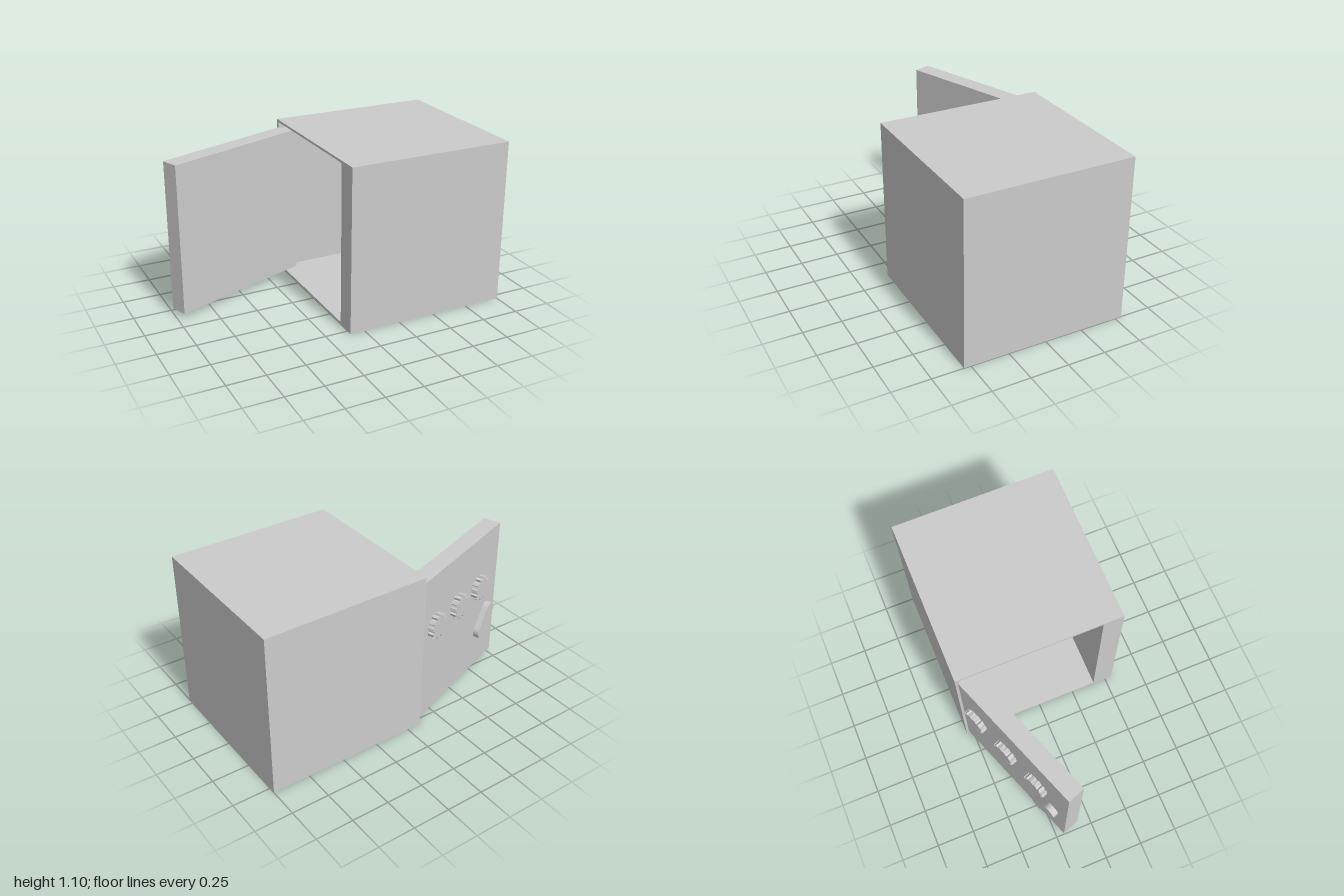
import * as THREE from 'three';

const material = new THREE.MeshStandardMaterial({ color: 0xcccccc, flatShading: true });

function mesh(name, geometry, x = 0, y = 0, z = 0) {
  const m = new THREE.Mesh(geometry, material);
  m.name = name;
  m.position.set(x, y, z);
  return m;
}

function rect(path, x0, y0, x1, y1) {
  path.moveTo(x0, y0);
  path.lineTo(x1, y0);
  path.lineTo(x1, y1);
  path.lineTo(x0, y1);
  path.closePath();
  return path;
}

const extrude = (shape, depth) =>
  new THREE.ExtrudeGeometry(shape, { depth, bevelEnabled: false, curveSegments: 10 });

// Dial outline with twelve square grip teeth
function dialShape() {
  const teeth = 12, points = [];
  for (let i = 0; i < teeth; i++) {
    [[0.0, 0.07], [0.1, 0.085], [0.5, 0.085], [0.6, 0.07]].forEach(([f, r]) => {
      const a = ((i + f) / teeth) * Math.PI * 2;
      points.push(new THREE.Vector2(Math.cos(a) * r, Math.sin(a) * r));
    });
  }
  return new THREE.Shape(points);
}

// Rounded bar outline
function barShape(half, r) {
  const s = new THREE.Shape();
  s.absarc(half, 0, r, -Math.PI / 2, Math.PI / 2);
  s.absarc(-half, 0, r, Math.PI / 2, Math.PI * 1.5);
  s.closePath();
  return s;
}

export function createModel() {
  const model = new THREE.Group();
  model.name = 'safe';

  // Hollow body, open on the -x side; shape x runs along world z
  const body = new THREE.Group();
  body.name = 'body';
  const walls = rect(new THREE.Shape(), -0.545, 0, 0.545, 1.095);
  walls.holes.push(rect(new THREE.Path(), -0.52, 0.02, 0.41, 1.08));
  const shell = extrude(walls, 1.0);
  shell.rotateY(-Math.PI / 2);
  body.add(mesh('bodyWalls', shell, 0.9, 0, 0));
  body.add(mesh('bodyEndWall', new THREE.BoxGeometry(0.1, 1.095, 1.09), 0.95, 0.5475, 0));
  model.add(body);

  // Door swung open on the back edge; its outer face is local z = 0
  const door = new THREE.Group();
  door.name = 'door';
  door.position.set(-1, 0, -0.2);
  door.rotation.y = THREE.MathUtils.degToRad(20);
  door.add(mesh('doorPanel', new THREE.BoxGeometry(1.0, 1.0, 0.117), 0.5, 0.54, 0.0585));

  // Three toothed dials
  const dial = extrude(dialShape(), 0.045);
  [0.81, 0.535, 0.26].forEach((x, i) => door.add(mesh('dial' + (i + 1), dial, x, 0.68, -0.04)));

  // Slanted handle, rising towards the free edge
  const handle = mesh('handle', extrude(barShape(0.08, 0.05), 0.045), 0.17, 0.38, -0.04);
  handle.rotation.z = THREE.MathUtils.degToRad(128);
  door.add(handle);

  model.add(door);
  return model;
}
